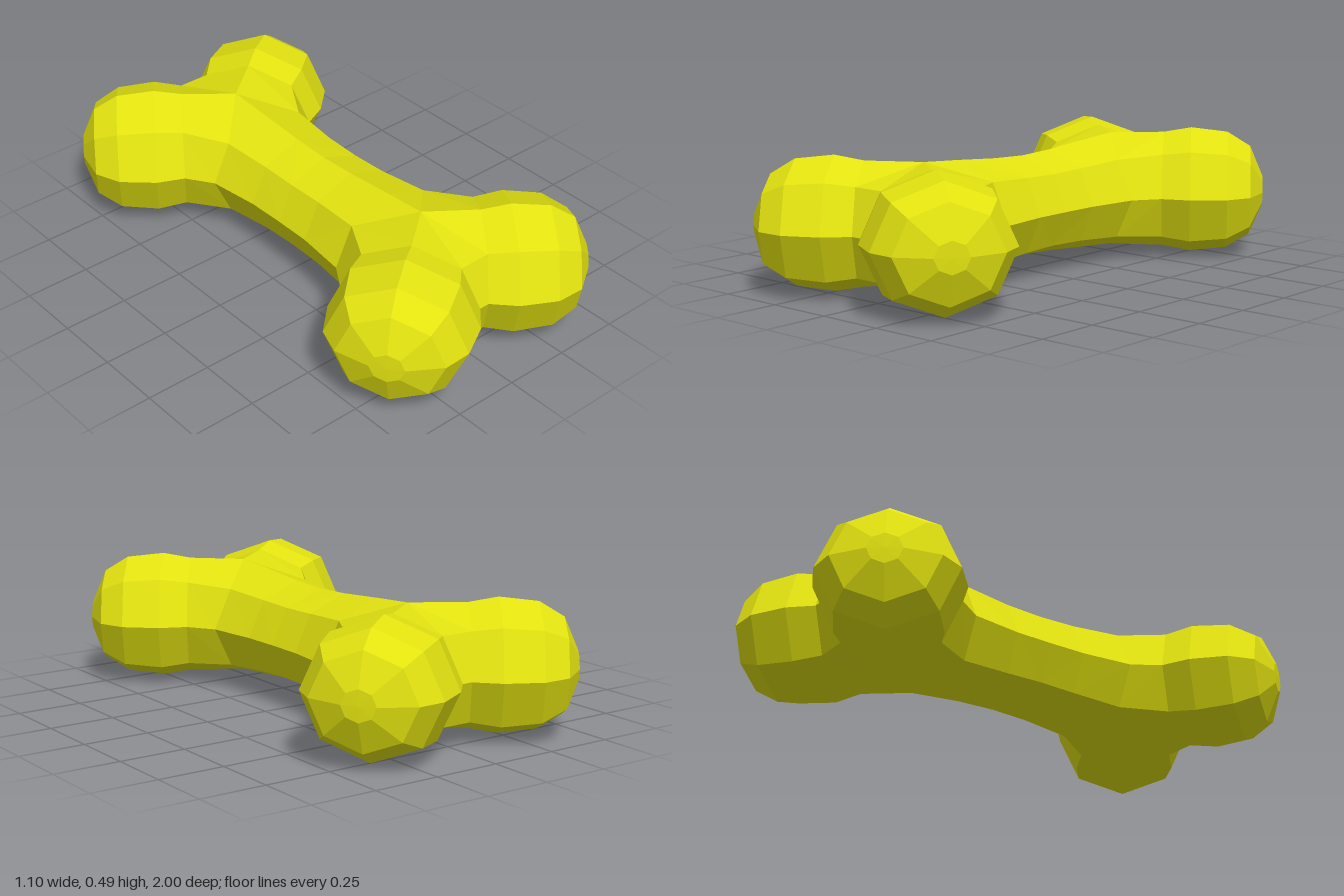
import * as THREE from 'three';

const MID = 0.245;          // height of the bone's centre line
const D = [0.81, 0.586];    // knob axis in the x-z plane

const v = (x, y, z) => new THREE.Vector3(x, y, z);

// Faceted skin between consecutive loops of points, skipping collapsed triangles
function loft(loops, closed) {
  const tris = [];
  const add = (a, b, c) => {
    const n = b.clone().sub(a).cross(c.clone().sub(a));
    if (n.length() > 1e-7) tris.push([a, b, c]);
  };
  for (let i = 0; i < loops.length - 1; i++) {
    const A = loops[i], B = loops[i + 1], n = A.length;
    for (let k = 0; k < (closed ? n : n - 1); k++) {
      const m = (k + 1) % n;
      add(A[k], B[k], A[m]);
      add(A[m], B[k], B[m]);
    }
  }
  return tris;
}

// Mirrors triangles across x and/or z, keeping faces outward
function mirror(tris, sx, sz) {
  return tris.map((t) => {
    const m = t.map((p) => v(p.x * sx, p.y, p.z * sz));
    return sx * sz < 0 ? m.reverse() : m;
  });
}

// Half octagon of the shaft, from top round +x to bottom
function shaftRing(z, rx, ry) {
  return [0, 1, 2, 3, 4].map((k) => {
    const a = (k * Math.PI) / 4;
    return v(rx * Math.sin(a), MID + ry * Math.cos(a), z);
  });
}

// Octagon across a knob, from top round the outer side
function knobRing(t, r) {
  return Array.from({ length: 8 }, (_, k) => {
    const a = (k * Math.PI) / 4, s = r * Math.sin(a);
    return v(D[0] * t + D[1] * s, MID + 0.917 * r * Math.cos(a), 0.53 + D[1] * t - D[0] * s);
  });
}

export function createModel() {
  const group = new THREE.Group();
  group.name = 'bone';
  const yellow = new THREE.MeshStandardMaterial({ color: 0xe2e210 });
  yellow.name = 'yellow';

  const addMesh = (name, tris) => {
    const geo = new THREE.BufferGeometry().setFromPoints(tris.flat());
    geo.computeVertexNormals();
    const mesh = new THREE.Mesh(geo, yellow);
    mesh.name = name;
    group.add(mesh);
  };

  // Fork points where the two knobs meet the shaft
  const top = v(0, MID + 0.222, 0.52), bottom = v(0, MID - 0.222, 0.52);
  const end = shaftRing(0.35, 0.243, 0.21);
  const fork = [top, end[1], end[2], end[3], bottom];

  // Quarter of the shaft
  const shaft = loft([
    shaftRing(0, 0.217, 0.188),
    shaftRing(0.15, 0.219, 0.194),
    end,
    fork,
  ], false);

  // One knob, widening then closing to a small flat cap
  const rings = [[0.203, 0.246], [0.31, 0.267], [0.451, 0.25], [0.54, 0.19], [0.59, 0.062]]
    .map(([t, r]) => knobRing(t, r));
  const root = [...fork, ...rings[0].slice(5)];
  const tip = Array(8).fill(v(D[0] * 0.592, MID, 0.53 + D[1] * 0.592));
  const knob = loft([root, ...rings, tip], true);

  // Web filling the notch between neighbouring knobs
  const inner = [top, rings[0][7], rings[0][6], rings[0][5], bottom];
  const web = loft([inner, inner.map((p) => v(0, p.y, p.z))], false);

  const sides = [1, -1];
  addMesh('shaft', sides.flatMap((sx) => sides.flatMap((sz) => mirror(shaft, sx, sz))));
  for (const sz of sides) {
    const endName = sz > 0 ? 'front' : 'back';
    addMesh(endName + 'Web', sides.flatMap((sx) => mirror(web, sx, sz)));
    for (const sx of sides) {
      addMesh(endName + (sx > 0 ? 'Left' : 'Right') + 'Knob', mirror(knob, sx, sz));
    }
  }
  return group;
}
